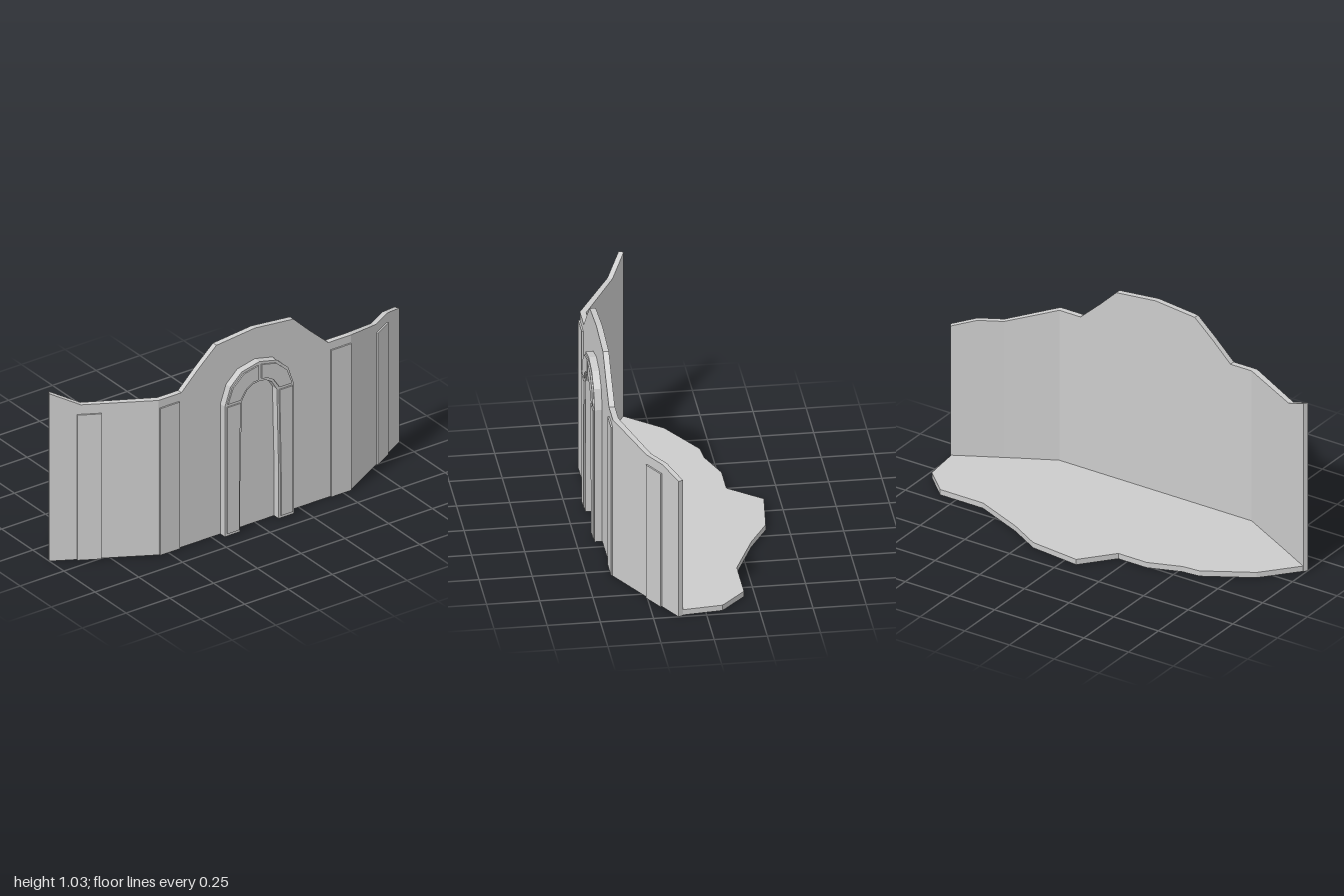
import * as THREE from 'three';

const material = new THREE.MeshStandardMaterial({ color: 0xcccccc, flatShading: true });
const CORNER = 0.55, FRONT = 0.378, END = 0.132;

// Front line of the wall in plan: a straight centre with two swept wings
const frontZ = x => Math.abs(x) <= CORNER ? FRONT
  : FRONT + (END - FRONT) * (Math.abs(x) - CORNER) / (1 - CORNER);

// Skins four-point sections [frontBottom, frontTop, backTop, backBottom] running along +x
function loft(sections) {
  const pos = [];
  const quad = (a, b, c, d) => [a, b, c, a, c, d].forEach(p => pos.push(...p));
  for (let i = 0; i < sections.length - 1; i++) {
    const s = sections[i], t = sections[i + 1];
    for (let k = 0; k < 4; k++) quad(s[k], t[k], t[(k + 1) % 4], s[(k + 1) % 4]);
  }
  quad(...sections[0]);
  quad(...[...sections[sections.length - 1]].reverse());
  const geo = new THREE.BufferGeometry();
  geo.setAttribute('position', new THREE.Float32BufferAttribute(pos, 3));
  geo.computeVertexNormals();
  return geo;
}

function extrude(points, depth) {
  const shape = new THREE.Shape(points.map(p => new THREE.Vector2(...p)));
  return new THREE.ExtrudeGeometry(shape, { depth, bevelEnabled: false });
}

export function createModel() {
  const model = new THREE.Group();
  const add = (name, geo, z = 0) => {
    const mesh = new THREE.Mesh(geo, material);
    mesh.name = name;
    mesh.position.z = z;
    model.add(mesh);
    return mesh;
  };

  // Wall with a raised, uneven top line
  const topLine = [[-1, 0.888], [-0.87, 0.82], [-0.55, 0.82], [-0.42, 0.82], [-0.32, 0.918],
    [-0.22, 1.008], [0, 1.03], [0.22, 1.008], [0.31, 0.92], [0.42, 0.82], [0.55, 0.82],
    [0.78, 0.746], [0.89, 0.746], [1, 0.71]];
  add('wall', loft(topLine.map(([x, top]) => {
    const wing = Math.abs(x) >= CORNER;
    const bx = wing ? x - Math.sign(x) * 0.012 : x;
    const bz = frontZ(x) - (wing && Math.abs(x) > CORNER ? 0.022 : 0.028);
    return [[x, 0, frontZ(x)], [x, top, frontZ(x)], [bx, top, bz], [bx, 0, bz]];
  })));

  // Shallow pilasters on the centre and on the wings
  const pilaster = (name, x0, x1, top) => {
    const wing = Math.abs(x0 + x1) / 2 > CORNER;
    const nx = wing ? Math.sign(x0) * 0.48 : 0, nz = wing ? 0.877 : 1;
    const at = (x, y, d) => [x + nx * d, y, frontZ(x) + nz * d];
    add(name, loft([x0, x1].map(x =>
      [at(x, 0, 0.008), at(x, top, 0.008), at(x, top, -0.008), at(x, 0, -0.008)])));
  };
  pilaster('innerPilasterLeft', 0.433, 0.546, 0.778);
  pilaster('innerPilasterRight', -0.546, -0.433, 0.778);
  pilaster('outerPilasterLeft', 0.785, 0.885, 0.698);
  pilaster('outerPilasterRight', -0.885, -0.785, 0.77);

  // Arched door surround
  const outer = [[0.197, 0], [0.197, 0.69], [0.165, 0.785], [0.1, 0.845], [0, 0.868]];
  const inner = [[0.11, 0], [0.11, 0.24], [0.1, 0.69], [0.07, 0.74], [0.035, 0.76], [0, 0.765]];
  const mirror = pts => pts.map(([x, y]) => [-x, y]);
  add('archSurround', extrude([
    ...outer, ...mirror(outer.slice(0, -1)).reverse(),
    ...mirror(inner), ...inner.slice(0, -1).reverse()
  ], 0.04), 0.374);

  // Raised stone facings on the jambs and on each half of the arch
  const jamb = [[0.12, 0.015], [0.186, 0.015], [0.186, 0.685], [0.112, 0.685], [0.12, 0.24]];
  const crown = [[0.112, 0.7], [0.183, 0.7], [0.155, 0.777], [0.094, 0.833], [0.01, 0.852],
    [0.01, 0.777], [0.04, 0.773], [0.078, 0.75]];
  for (const [side, flip] of [['Left', p => p], ['Right', p => mirror(p).reverse()]]) {
    add('jambFacing' + side, extrude(flip(jamb), 0.01), 0.411);
    add('archFacing' + side, extrude(flip(crown), 0.01), 0.411);
  }

  // Ragged ground slab behind the wall
  const outline = [[-0.985, 0.112], [-0.84, -0.06], [-0.61, -0.195], [-0.52, -0.203], [-0.36, -0.262],
    [-0.2, -0.262], [-0.07, -0.42], [0.19, -0.392], [0.35, -0.302], [0.6, -0.198], [0.84, -0.198],
    [0.965, -0.08], [0.985, 0.112], [0.54, 0.352], [-0.54, 0.352]];
  const ground = extrude(outline.map(([x, z]) => [x, -z]), 0.028);
  ground.rotateX(-Math.PI / 2);
  add('groundSlab', ground);

  return model;
}
